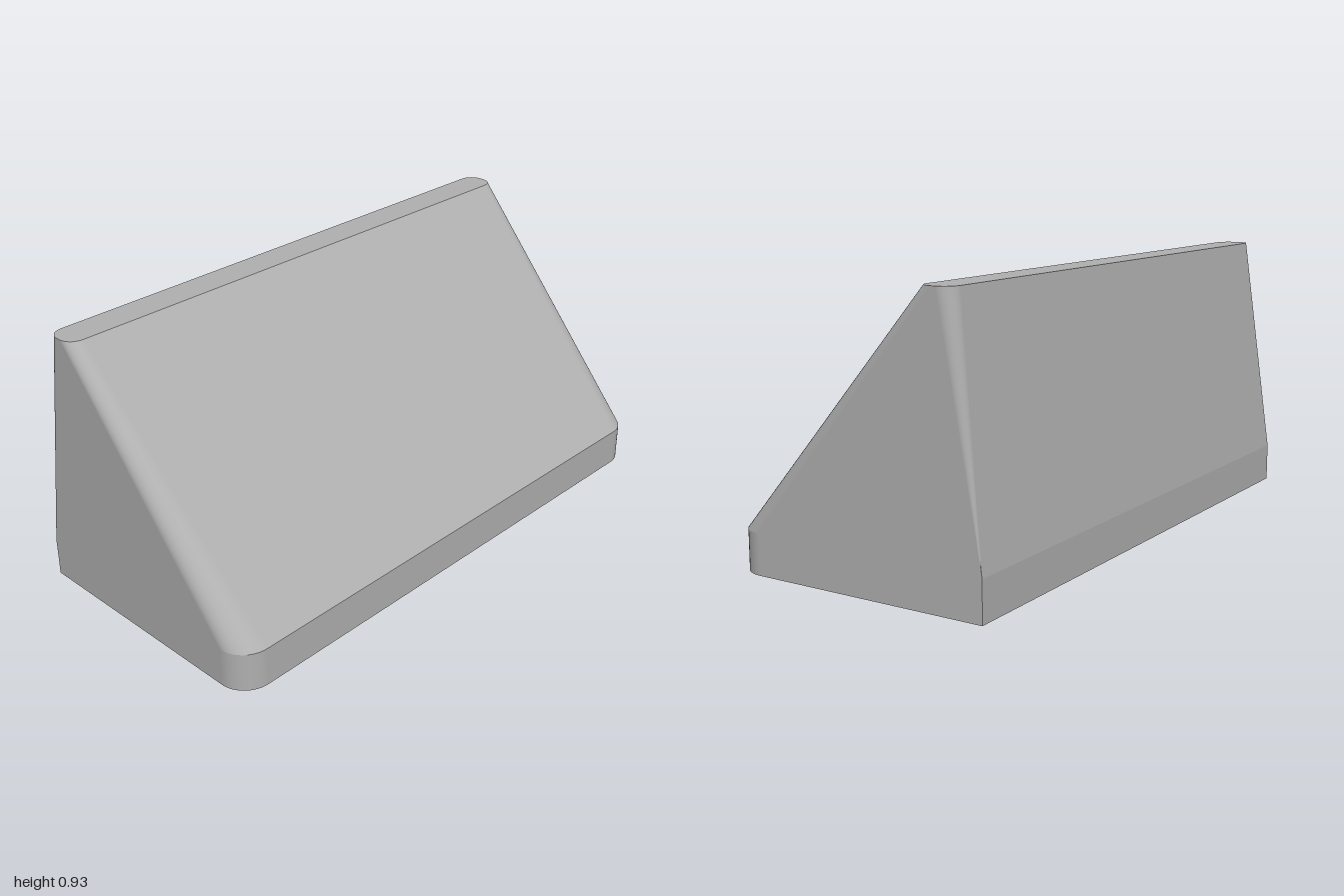
import * as THREE from 'three';

const STEPS = 12;

// Rectangle outline at height y; the +x and -x corners have their own radii.
// Each point also carries its outward direction, so corners stay smooth.
function outline(y, x0, x1, rLeft, rRight) {
  const corners = [[1, 1, rRight], [-1, 1, rLeft], [-1, -1, rLeft], [1, -1, rRight]];
  const points = [];
  corners.forEach(([sx, sz, r], c) => {
    const cx = sx > 0 ? x1 - r : x0 + r;
    const cz = sz * (1 - r);
    for (let i = 0; i <= STEPS; i++) {
      const a = (c + i / STEPS) * Math.PI / 2;
      const out = new THREE.Vector3(Math.cos(a), 0, Math.sin(a));
      points.push({ p: new THREE.Vector3(cx, y, cz).addScaledVector(out, r), out });
    }
  });
  return points;
}

function fromTriangles(triangles) {
  const pos = [], nor = [];
  for (const tri of triangles) {
    const [a, b, c] = tri.map(v => v.p);
    if (new THREE.Triangle(a, b, c).getArea() < 1e-7) continue;
    for (const v of tri) {
      pos.push(...v.p.toArray());
      nor.push(...v.n.toArray());
    }
  }
  const g = new THREE.BufferGeometry();
  g.setAttribute('position', new THREE.Float32BufferAttribute(pos, 3));
  g.setAttribute('normal', new THREE.Float32BufferAttribute(nor, 3));
  return g;
}

// Wall between two outlines, with normals tilted to the slope
function wall(lower, upper) {
  const normals = lower.map((l, i) => {
    const d = upper[i].p.clone().sub(l.p);
    return new THREE.Vector3(l.out.x, -d.dot(l.out) / d.y, l.out.z).normalize();
  });
  const lo = lower.map((v, i) => ({ p: v.p, n: normals[i] }));
  const up = upper.map((v, i) => ({ p: v.p, n: normals[i] }));
  const tris = [];
  lo.forEach((_, i) => {
    const j = (i + 1) % lo.length;
    tris.push([lo[i], up[i], lo[j]], [up[i], up[j], lo[j]]);
  });
  return fromTriangles(tris);
}

// Flat cap closing an outline
function cap(ring, dir) {
  const n = new THREE.Vector3(0, dir, 0);
  const v = ring.map(r => ({ p: r.p, n }));
  const tris = [];
  for (let i = 1; i < v.length - 1; i++) {
    tris.push(dir > 0 ? [v[0], v[i + 1], v[i]] : [v[0], v[i], v[i + 1]]);
  }
  return fromTriangles(tris);
}

export function createModel() {
  const group = new THREE.Group();
  group.name = 'wedgeBlock';
  const grey = new THREE.MeshStandardMaterial({ color: 0xb0b0b0 });
  grey.name = 'grey';

  const base = outline(0, -0.466, 0.466, 0, 0.1);
  const shoulder = outline(0.135, -0.466, 0.466, 0, 0.1);
  const ridge = outline(0.934, -0.367, -0.254, 0.05, 0.05);

  const parts = {
    bottom: cap(base, -1),
    baseWall: wall(base, shoulder),
    slopedSides: wall(shoulder, ridge),
    topRidge: cap(ridge, 1),
  };
  for (const [name, geometry] of Object.entries(parts)) {
    const mesh = new THREE.Mesh(geometry, grey);
    mesh.name = name;
    group.add(mesh);
  }
  return group;
}
